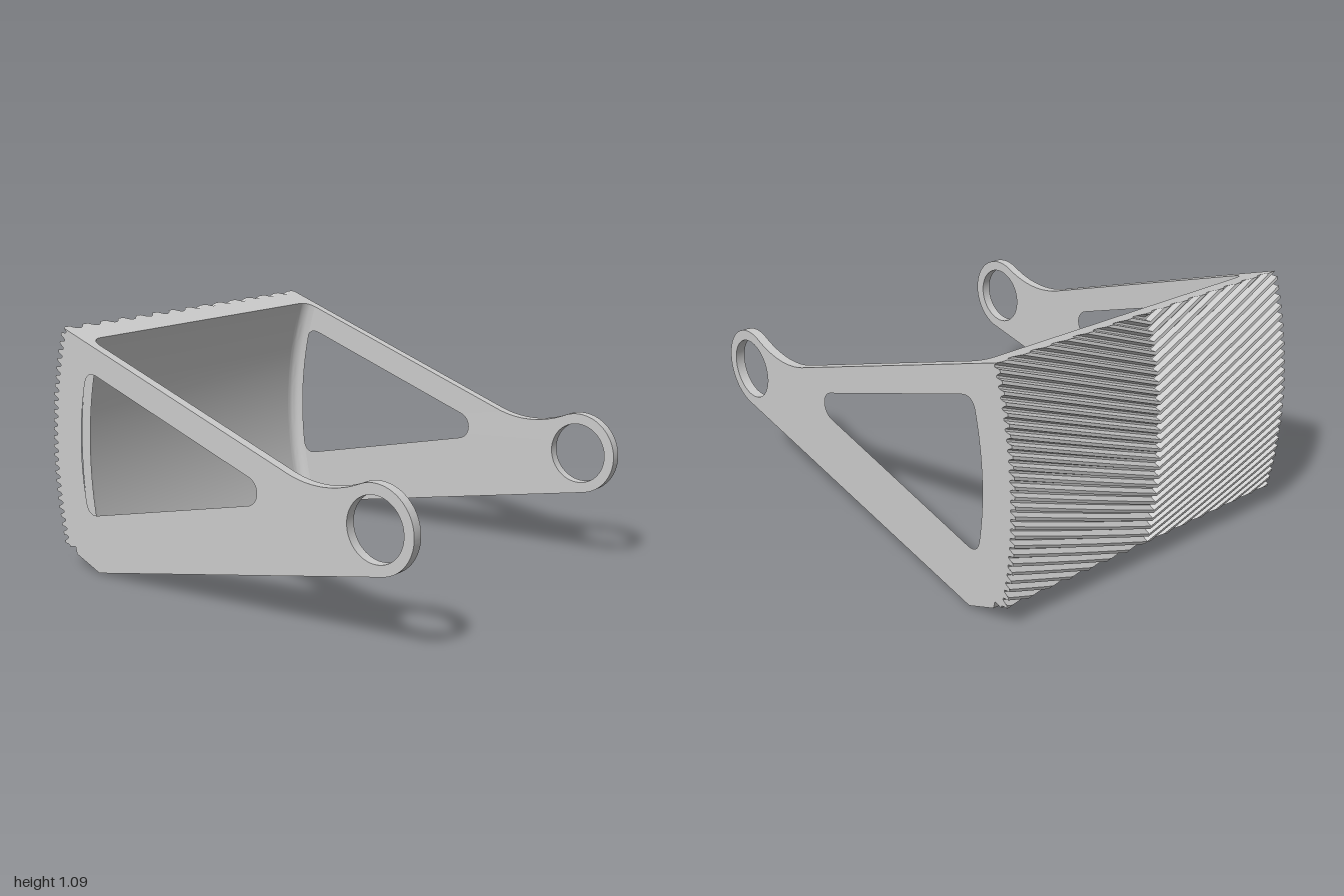
import * as THREE from 'three';
import { toCreasedNormals } from 'three/addons/utils/BufferGeometryUtils.js';

// Pivot axis and main radii measured from it
const PY = 0.508, PZ = 0.82;
const TIP = 1.815, ROOT = 1.788, INNER = 1.675, ARM_R = 1.75;
const A_TOP = 0.325, A_LOW = -0.228;
const HALF = 0.763, ARM_IN = 0.72, FILLET = 0.055;
const PITCH = 0.04, SLOPE = 0.38, PITCH_R = 1.8;

const material = new THREE.MeshStandardMaterial({ color: 0xcccccc });

// Point at radius r and angle a around the pivot axis
const polar = (x, r, a) => new THREE.Vector3(x, PY + r * Math.sin(a), PZ - r * Math.cos(a));

// Angle of the chamfered bottom edge, which is not radial
const lowAngle = (r) => A_LOW - ((TIP - r) / 0.188) * 0.091;

const steps = (a, b, n) => Array.from({ length: n + 1 }, (_, i) => a + ((b - a) * i) / n);

// Surface over two lists of parameters, leaving out collapsed triangles
function sheet(us, vs, fn, flip) {
  const rows = us.map((u) => vs.map((v) => fn(u, v)));
  const pos = [];
  const tri = new THREE.Triangle();
  const add = (a, b, c) => {
    tri.set(a, b, c);
    if (tri.getArea() < 1e-9) return;
    for (const p of flip ? [a, c, b] : [a, b, c]) pos.push(p.x, p.y, p.z);
  };
  for (let i = 0; i < us.length - 1; i++) {
    for (let j = 0; j < vs.length - 1; j++) {
      const a = rows[i][j], b = rows[i + 1][j], c = rows[i + 1][j + 1], d = rows[i][j + 1];
      add(a, b, c);
      add(a, c, d);
    }
  }
  const geo = new THREE.BufferGeometry();
  geo.setAttribute('position', new THREE.Float32BufferAttribute(pos, 3));
  return toCreasedNormals(geo, 0.5);
}

function mesh(name, geometry) {
  const m = new THREE.Mesh(geometry, material);
  m.name = name;
  return m;
}

// One tooth: position along the pitch and height
const TOOTH = [[0, 0], [0.22, 0], [0.36, 0.5], [0.44, 1], [0.78, 1], [0.86, 0.5], [1, 0]];

function toothRadius(a, x) {
  const t = (a * PITCH_R - SLOPE * Math.abs(x)) / PITCH;
  const f = t - Math.floor(t);
  const i = Math.max(1, TOOTH.findIndex((p) => p[0] >= f));
  const [f0, h0] = TOOTH[i - 1], [f1, h1] = TOOTH[i];
  return ROOT + (TIP - ROOT) * (h0 + ((h1 - h0) * (f - f0)) / (f1 - f0));
}

// Angle at which the teeth meet the bottom chamfer, found by bisection
function toothEnd(x) {
  let lo = lowAngle(ROOT) - 0.001, hi = A_LOW + 0.001;
  for (let i = 0; i < 24; i++) {
    const mid = (lo + hi) / 2;
    if (mid < lowAngle(toothRadius(mid, x))) lo = mid;
    else hi = mid;
  }
  return hi;
}

// Inner radius of the plate, with a fillet towards each arm
function innerRadius(x) {
  const d = Math.abs(x) - (ARM_IN - FILLET);
  if (d <= 0) return INNER;
  if (d > FILLET + 1e-6) return 1.7;
  return INNER - FILLET + Math.sqrt(Math.max(0, FILLET * FILLET - d * d));
}

function makePlate() {
  const plate = new THREE.Group();
  plate.name = 'toothedPlate';
  const xs = steps(-HALF, HALF, 120);
  const flat = ARM_IN - FILLET;
  const innerXs = [...steps(-ARM_IN, -flat, 8), ...steps(flat, ARM_IN, 8)];
  const edgeXs = [...xs, ...innerXs].sort((a, b) => a - b);

  // V-shaped teeth: the mesh lines follow the ribs and are clamped to the ends
  const ts = [];
  for (let k = -19; k < 16; k++) for (const p of TOOTH.slice(0, -1)) ts.push(k + p[0]);
  plate.add(mesh('chevronTeeth', sheet(edgeXs, ts, (x, t) => {
    const a = (t * PITCH + SLOPE * Math.abs(x)) / PITCH_R;
    const c = THREE.MathUtils.clamp(a, toothEnd(x), A_TOP);
    return polar(x, toothRadius(c, x), c);
  }, true)));

  // Smooth inner face
  plate.add(mesh('innerFace', sheet(innerXs, steps(0, 1, 30), (x, v) => {
    const r = innerRadius(x), lo = lowAngle(r);
    return polar(x, r, lo + (A_TOP - lo) * v);
  }, false)));

  // Top and bottom edges
  plate.add(mesh('topEdge', sheet(edgeXs, [0, 1], (x, v) =>
    polar(x, v ? toothRadius(A_TOP, x) : innerRadius(x), A_TOP), false)));
  plate.add(mesh('bottomEdge', sheet(edgeXs, [0, 1], (x, v) => {
    const r = innerRadius(x), end = toothEnd(x);
    return v ? polar(x, toothRadius(end, x), end) : polar(x, r, lowAngle(r));
  }, true)));

  // Tooth ends beside the arms, and fillet ends seen through the openings
  for (const side of [-1, 1]) {
    const x = side * HALF, xf = side * ARM_IN;
    plate.add(mesh('toothEnds', sheet(steps(toothEnd(x), A_TOP, 260), [0, 1], (a, v) =>
      polar(x, v ? toothRadius(a, x) : ARM_R - 0.005, a), side > 0)));
    plate.add(mesh('filletEnds', sheet(steps(A_LOW, A_TOP, 30), [0, 1], (a, v) =>
      polar(xf, v ? INNER : INNER - FILLET, a), side > 0)));
  }
  return plate;
}

// Arm outline drawn with its first axis pointing to the back
function armGeometry() {
  const deg = Math.PI / 180;
  const s = new THREE.Shape();
  s.absarc(-PZ, PY, 0.18, -102 * deg, 65 * deg, true);
  s.bezierCurveTo(-0.63, 0.62, -0.5, 0.612, -0.38, 0.655);
  s.absarc(-PZ, PY, ARM_R, A_TOP, lowAngle(ARM_R), true);
  s.lineTo(0.725, 0);
  s.closePath();

  const eye = new THREE.Path();
  eye.absarc(-PZ, PY, 0.134, 0, Math.PI * 2, false);

  const opening = new THREE.Path();
  opening.moveTo(-0.19, 0.6);
  opening.lineTo(0.69, 0.895);
  opening.quadraticCurveTo(0.755, 0.915, 0.77, 0.85);
  opening.quadraticCurveTo(0.836, 0.58, 0.79, 0.32);
  opening.quadraticCurveTo(0.78, 0.255, 0.72, 0.267);
  opening.lineTo(-0.185, 0.482);
  opening.bezierCurveTo(-0.245, 0.5, -0.245, 0.58, -0.19, 0.6);

  s.holes.push(eye, opening);
  const geo = new THREE.ExtrudeGeometry(s, {
    depth: HALF - ARM_IN, bevelEnabled: false, curveSegments: 32,
  });
  geo.rotateY(Math.PI / 2);
  return toCreasedNormals(geo, 0.5);
}

export function createModel() {
  const model = new THREE.Group();
  model.name = 'swingFrame';
  const frame = new THREE.Group();
  frame.name = 'frame';
  frame.rotation.y = -0.004;
  frame.add(makePlate());

  const arm = armGeometry();
  const left = mesh('leftArm', arm);
  left.position.x = ARM_IN;
  const right = mesh('rightArm', arm);
  right.position.x = -HALF;
  frame.add(left, right);

  model.add(frame);
  return model;
}
